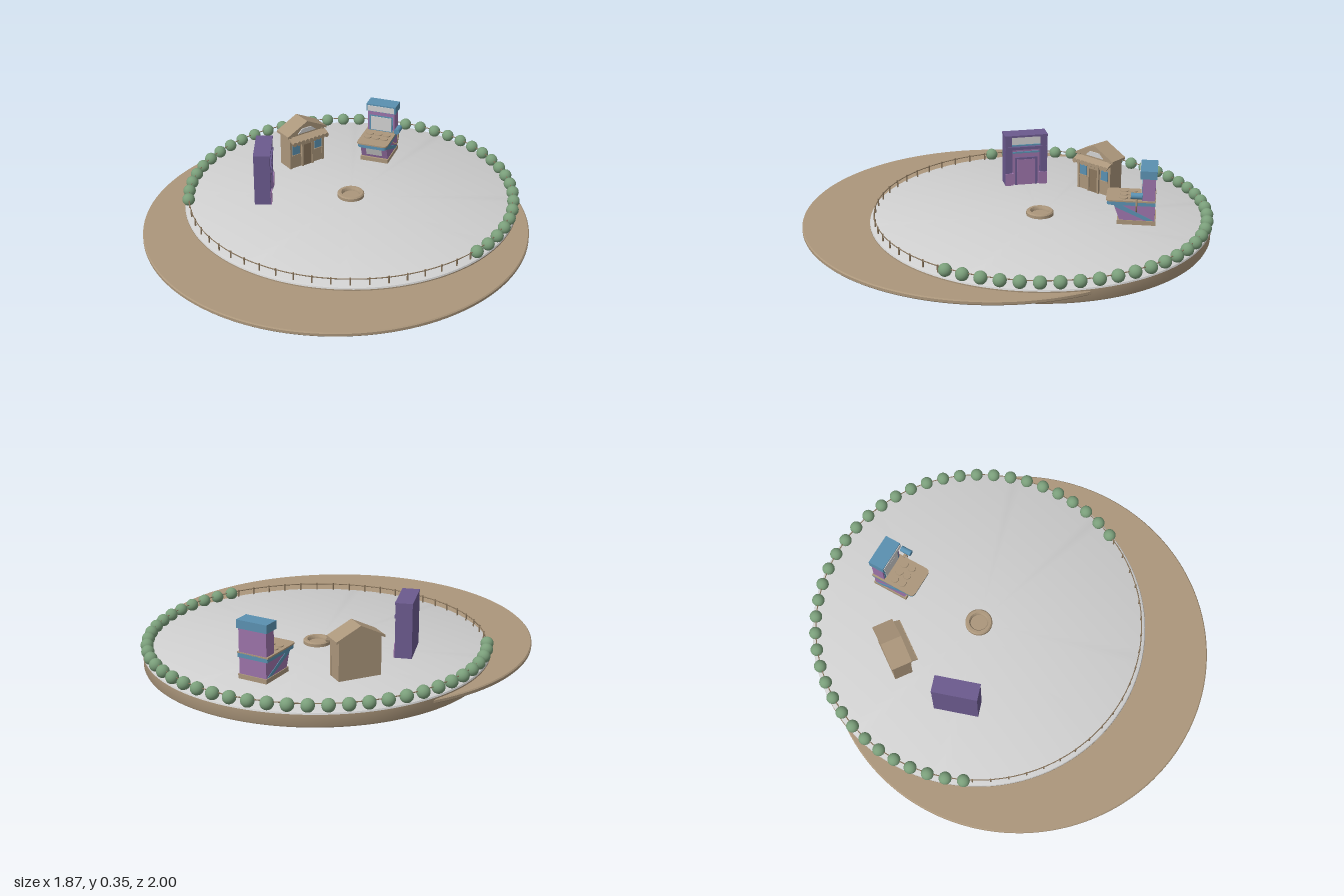
import * as THREE from 'three';
import { toCreasedNormals } from 'three/addons/utils/BufferGeometryUtils.js';

const mat = (name, color) => {
  const m = new THREE.MeshStandardMaterial({ color });
  m.name = name;
  return m;
};
const tan = mat('tan', 0xab967b), gray = mat('paleGray', 0xd0d0d0), green = mat('leafGreen', 0x7a9e7a);
const purple = mat('purple', 0x6b5a8e), mauve = mat('mauve', 0x9a72a8), blue = mat('blue', 0x5a90b0);
const brown = mat('brown', 0x8a765d);

function add(parent, name, geo, material, x = 0, y = 0, z = 0) {
  const mesh = new THREE.Mesh(geo, material);
  mesh.name = name;
  mesh.position.set(x, y, z);
  parent.add(mesh);
  return mesh;
}
// Box placed by the centre of its bottom face
const box = (p, name, m, w, h, d, x, y, z) => add(p, name, new THREE.BoxGeometry(w, h, d), m, x, y + h / 2, z);

const lathe = (pts, seg = 96) =>
  toCreasedNormals(new THREE.LatheGeometry(pts.map(([r, y]) => new THREE.Vector2(r, y)), seg), 0.6);

const shapeOf = (pts) => new THREE.Shape(pts.map(([a, b]) => new THREE.Vector2(a, b)));

// Side profile given as (z, y), extruded to width w along x
function sideProfile(pts, w) {
  const g = new THREE.ExtrudeGeometry(shapeOf(pts), { depth: w, bevelEnabled: false });
  return g.rotateY(-Math.PI / 2).translate(w / 2, 0, 0);
}
// Front profile given as (x, y), extruded to depth d along z
function frontProfile(pts, d) {
  return new THREE.ExtrudeGeometry(shapeOf(pts), { depth: d, bevelEnabled: false }).translate(0, 0, -d / 2);
}
function place(parent, name, x, z, angle) {
  const g = new THREE.Group();
  g.name = name;
  g.position.set(x, 0.075, z);
  g.rotation.y = angle;
  parent.add(g);
  return g;
}

// Tall narrow shop with a sign band, pilasters and a door
function tallShop(root) {
  const g = place(root, 'tallShop', -0.417, -0.036, 1.89);
  box(g, 'body', purple, 0.22, 0.268, 0.066, 0, 0, -0.008);
  box(g, 'parapet', purple, 0.222, 0.01, 0.084, 0, 0.26, 0);
  box(g, 'facade', mauve, 0.14, 0.2, 0.006, 0, 0, 0.028);
  box(g, 'signBoard', gray, 0.15, 0.04, 0.006, 0, 0.218, 0.029);
  box(g, 'signTrim', blue, 0.17, 0.007, 0.01, 0, 0.21, 0.03);
  box(g, 'cornice', purple, 0.216, 0.015, 0.018, 0, 0.193, 0.034);
  box(g, 'lintelTrim', blue, 0.14, 0.008, 0.008, 0, 0.172, 0.033);
  for (const s of [-1, 1]) {
    box(g, 'pilaster', purple, 0.036, 0.262, 0.014, s * 0.092, 0, 0.032);
    box(g, 'pilasterBase', mauve, 0.042, 0.065, 0.018, s * 0.088, 0, 0.035);
    box(g, 'doorPost', purple, 0.01, 0.145, 0.012, s * 0.053, 0, 0.035);
  }
  box(g, 'doorHead', purple, 0.116, 0.01, 0.012, 0, 0.14, 0.035);
  box(g, 'door', mauve, 0.094, 0.138, 0.006, 0, 0, 0.034);
}

// Small gabled kiosk with a scalloped awning
function kiosk(root) {
  const g = place(root, 'kiosk', -0.361, -0.427, 0.955);
  add(g, 'walls', frontProfile([[-0.105, 0], [0.105, 0], [0.105, 0.188], [0, 0.24], [-0.105, 0.188]], 0.088), tan);
  add(g, 'roof', frontProfile([[-0.12, 0.18], [-0.12, 0.192], [0, 0.252], [0.12, 0.192], [0.12, 0.18], [0, 0.239]].reverse(), 0.104), tan);
  add(g, 'gablePanel', frontProfile([[-0.055, 0.19], [0.055, 0.19], [0.028, 0.214], [-0.028, 0.214]], 0.006), gray, 0, 0, 0.046);
  add(g, 'awning', sideProfile([[0.04, 0.182], [0.084, 0.162], [0.084, 0.156], [0.04, 0.17]].reverse(), 0.222), tan);
  for (let i = 0; i < 9; i++) {
    const tab = add(g, 'awningScallop', new THREE.CylinderGeometry(0.0123, 0.0123, 0.005, 16), tan, (i - 4) * 0.0246, 0.157, 0.083);
    tab.rotation.x = Math.PI / 2;
  }
  box(g, 'door', brown, 0.05, 0.125, 0.008, 0, 0, 0.046);
  box(g, 'doorHead', tan, 0.074, 0.012, 0.014, 0, 0.124, 0.048);
  for (const s of [-1, 1]) {
    box(g, 'doorPost', tan, 0.01, 0.126, 0.014, s * 0.031, 0, 0.048);
    box(g, 'window', blue, 0.042, 0.052, 0.006, s * 0.068, 0.078, 0.046);
    box(g, 'windowSill', tan, 0.05, 0.006, 0.012, s * 0.068, 0.072, 0.047);
    box(g, 'cornerPost', tan, 0.012, 0.186, 0.012, s * 0.1, 0, 0.042);
  }
}

// Arcade cabinet with target pads, a backboard and a mallet
function arcade(root) {
  const g = place(root, 'arcadeCabinet', 0, -0.605, 0);
  box(g, 'plinth', tan, 0.15, 0.022, 0.185, 0, 0, -0.026);
  add(g, 'cabinet', sideProfile([[-0.113, 0.02], [0.055, 0.02], [0.085, 0.102], [-0.113, 0.102]], 0.142), mauve);
  const panel = box(g, 'frontPanel', gray, 0.085, 0.045, 0.004, 0, 0, 0);
  panel.position.set(0, 0.06, 0.0705);
  panel.rotation.x = 0.35;
  for (const s of [-1, 1]) {
    add(g, 'sideStripe', sideProfile([[-0.108, 0.024], [-0.07, 0.024], [0.078, 0.088], [0.082, 0.1], [0.05, 0.1]], 0.004), blue, s * 0.0715);
  }
  // Table with rounded front corners
  const top = (w, front, r) => {
    const s = new THREE.Shape();
    s.moveTo(-w, 0.115).lineTo(-w, -front + r).quadraticCurveTo(-w, -front, -w + r, -front)
      .lineTo(w - r, -front).quadraticCurveTo(w, -front, w, -front + r).lineTo(w, 0.115);
    return s;
  };
  const slab = (w, front, h) =>
    new THREE.ExtrudeGeometry(top(w, front, 0.025), { depth: h, bevelEnabled: false }).rotateX(-Math.PI / 2);
  add(g, 'tableBand', slab(0.079, 0.118, 0.02), blue, 0, 0.1, 0);
  add(g, 'tableTop', slab(0.082, 0.122, 0.007), tan, 0, 0.118, 0);
  for (let i = 0; i < 6; i++) {
    add(g, 'targetPad', new THREE.CylinderGeometry(0.019, 0.02, 0.006, 24), tan,
      ((i % 3) - 1) * 0.045, 0.127, i < 3 ? -0.005 : 0.038);
  }
  box(g, 'backboard', mauve, 0.146, 0.12, 0.062, 0, 0.12, -0.081);
  box(g, 'backboardFrame', blue, 0.128, 0.088, 0.004, 0, 0.125, -0.05);
  box(g, 'screen', gray, 0.112, 0.076, 0.006, 0, 0.13, -0.048);
  box(g, 'cap', blue, 0.16, 0.04, 0.08, 0, 0.238, -0.078);
  box(g, 'capSign', gray, 0.146, 0.03, 0.004, 0, 0.241, -0.037);
  // Mallet on its bracket, with a cord
  box(g, 'malletBracket', tan, 0.03, 0.008, 0.012, 0.087, 0.138, -0.025);
  add(g, 'malletHandle', new THREE.CylinderGeometry(0.005, 0.005, 0.055, 10), tan, 0.1, 0.135, -0.025);
  add(g, 'malletHead', new THREE.CylinderGeometry(0.015, 0.015, 0.056, 20).rotateX(Math.PI / 2), blue, 0.1, 0.16, -0.025);
  const cord = new THREE.CatmullRomCurve3([[0.1, 0.11], [0.098, 0.085], [0.088, 0.075], [0.07, 0.085]]
    .map(([x, y]) => new THREE.Vector3(x, y, -0.025)));
  add(g, 'malletCord', new THREE.TubeGeometry(cord, 16, 0.003, 8), brown);
}

export function createModel() {
  const root = new THREE.Group();
  root.name = 'fairground';

  // Offset ground disc, and the raised plaza
  add(root, 'groundDisc', lathe([[0, 0.036], [0.93, 0.036], [0.935, 0.041], [0.935, 0.053], [0.93, 0.058], [0, 0.058]], 128), tan, 0, 0, 0.065);
  const plaza = new THREE.Group();
  plaza.name = 'plaza';
  plaza.position.z = -0.16;
  root.add(plaza);
  add(plaza, 'plazaBase', lathe([[0, 0], [0.816, 0], [0.824, 0.004], [0.828, 0.012], [0.828, 0.064]], 128), tan);
  add(plaza, 'plazaFloor', lathe([[0.828, 0.064], [0.825, 0.071], [0.816, 0.075], [0, 0.075]], 128), gray);

  // Low round basin in the middle
  add(plaza, 'basin', lathe([[0.067, 0.075], [0.067, 0.09], [0.061, 0.096], [0.048, 0.096], [0.043, 0.09], [0.041, 0.079], [0, 0.079]], 48), tan);

  // Fence rail all around, posts along the open front
  add(plaza, 'fenceRail', new THREE.TorusGeometry(0.806, 0.0025, 6, 128).rotateX(Math.PI / 2), brown, 0, 0.106, 0);
  const postGeo = new THREE.CylinderGeometry(0.004, 0.004, 0.038, 8);
  for (let i = 0; i <= 20; i++) {
    const a = THREE.MathUtils.degToRad((i - 10) * 6.2);
    add(plaza, 'fencePost', postGeo, brown, 0.806 * Math.sin(a), 0.093, 0.806 * Math.cos(a));
  }

  // Round bushes around the sides and back
  const bushGeo = new THREE.SphereGeometry(0.031, 24, 16);
  for (let i = 0; i < 38; i++) {
    const a = THREE.MathUtils.degToRad(-25 + (230 * i) / 37);
    add(plaza, 'bush', bushGeo, green, 0.809 * Math.cos(a), 0.099, -0.809 * Math.sin(a));
  }

  tallShop(root);
  kiosk(root);
  arcade(root);
  return root;
}
